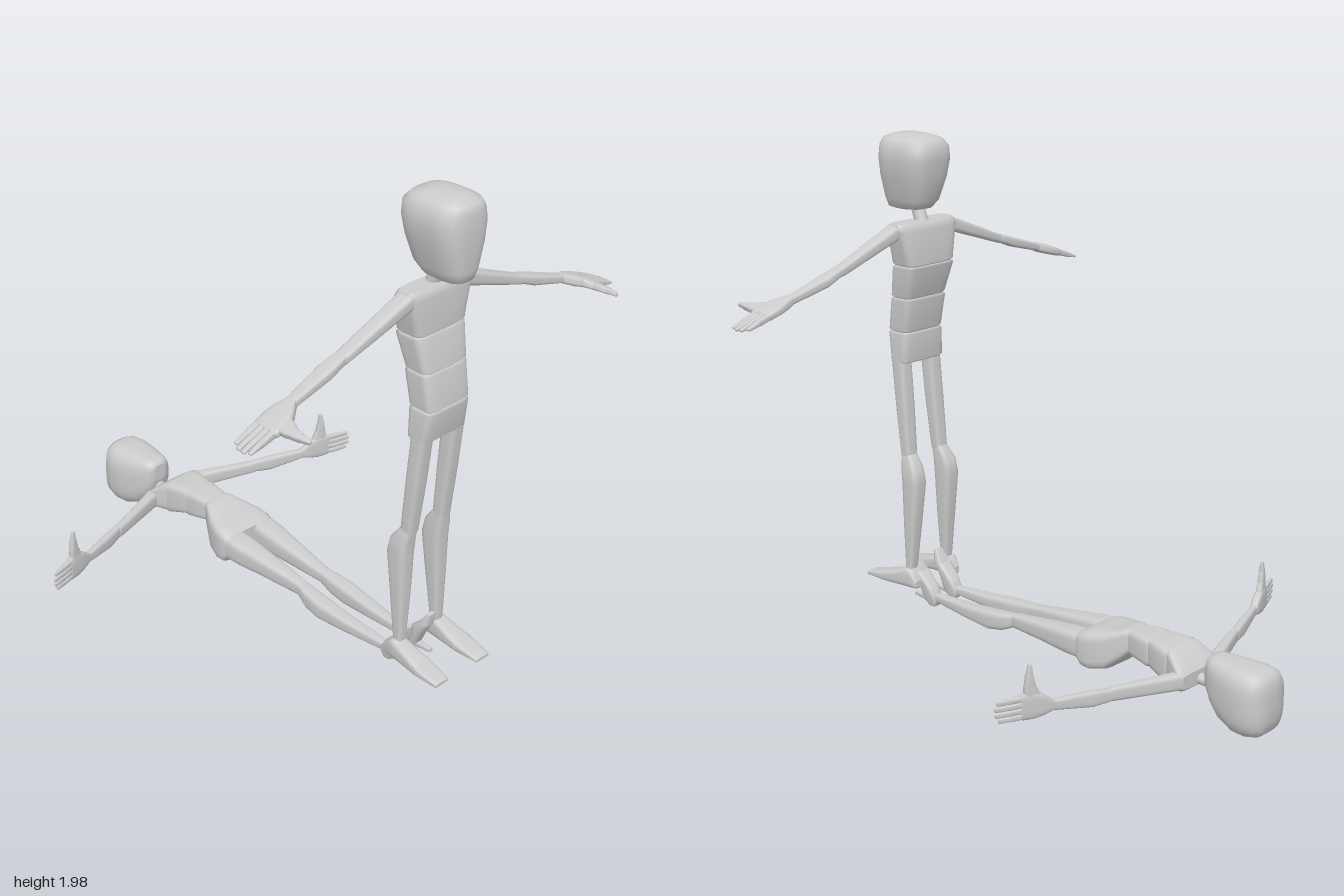
import * as THREE from 'three';

const grey = new THREE.MeshStandardMaterial({ color: 0xcccccc });
grey.name = 'plain grey';

// Each section is [x, y, z, half size, half size]; the two half sizes follow
// the axes across the loft: 'x' -> (y, z), 'y' -> (x, z), 'z' -> (x, y).
const AXES = { x: [0, 1, 2], y: [1, 0, 2], z: [2, 0, 1] };

function loft(name, axis, sections, { square = 0.55, bevel = 0, sides = 20 } = {}) {
  const [a, p, q] = AXES[axis];
  let rows = sections.map((s) => s.slice()).sort((m, n) => m[a] - n[a]);
  if (bevel) {
    // pull the two end faces in a little for softened rims
    const rim = (s, dir) => {
      const e = s.slice();
      e[3] -= bevel; e[4] -= bevel;
      s[a] += dir * bevel;
      return e;
    };
    const first = rim(rows[0], 1), last = rim(rows[rows.length - 1], -1);
    rows = [first, ...rows, last];
  }
  const pos = [], index = [];
  const flip = axis === 'y';
  const ring = (s) => {
    for (let i = 0; i < sides; i++) {
      const t = ((i + 0.5) / sides) * Math.PI * 2 * (flip ? -1 : 1);
      const pw = (v) => Math.sign(v) * Math.pow(Math.abs(v), square);
      const v = [s[0], s[1], s[2]];
      v[p] += s[3] * pw(Math.cos(t));
      v[q] += s[4] * pw(Math.sin(t));
      pos.push(...v);
    }
  };
  rows.forEach(ring);
  for (let r = 0; r < rows.length - 1; r++) {
    for (let i = 0; i < sides; i++) {
      const j = (i + 1) % sides, b = r * sides, c = b + sides;
      index.push(b + i, b + j, c + j, b + i, c + j, c + i);
    }
  }
  // flat ends
  [[rows[0], true], [rows[rows.length - 1], false]].forEach(([s, start]) => {
    const b = pos.length / 3;
    ring(s);
    pos.push(s[0], s[1], s[2]);
    for (let i = 0; i < sides; i++) {
      const j = (i + 1) % sides;
      index.push(b + sides, ...(start ? [b + j, b + i] : [b + i, b + j]));
    }
  });
  const g = new THREE.BufferGeometry();
  g.setAttribute('position', new THREE.Float32BufferAttribute(pos, 3));
  g.setIndex(index);
  g.computeVertexNormals();
  const mesh = new THREE.Mesh(g, grey);
  mesh.name = name;
  return mesh;
}

function group(name, ...parts) {
  const g = new THREE.Group();
  g.name = name;
  g.add(...parts);
  return g;
}

// Makes a left part and its mirror image
function pair(name, build) {
  const left = build(), right = build();
  left.name = 'left' + name;
  right.name = 'right' + name;
  right.scale.x *= -1;
  return [left, right];
}

function hand(scale) {
  const g = group('hand',
    loft('palm', 'x', [[-0.02, 0, 0, 0.017, 0.02], [0.03, 0, 0.012, 0.02, 0.045],
      [0.07, 0, 0.018, 0.019, 0.057], [0.125, 0, 0.018, 0.016, 0.054]], { bevel: 0.004 }),
    loft('thumbBase', 'z', [[0.075, 0, 0.05, 0.036, 0.016], [0.085, 0, 0.1, 0.026, 0.014]]),
    loft('thumbMiddle', 'z', [[0.085, 0, 0.098, 0.023, 0.014], [0.087, 0, 0.145, 0.016, 0.012]], { bevel: 0.002 }),
    loft('thumbTip', 'z', [[0.087, 0, 0.143, 0.014, 0.012], [0.085, 0, 0.188, 0.008, 0.007]], { bevel: 0.002 }));
  [0.098, 0.112, 0.114, 0.106].forEach((len, i) => {
    const z = -0.02 + i * 0.0245;
    const joint = 0.12 + len * 0.5, tip = 0.122 + len;
    g.add(loft('fingerBase', 'x', [[0.115, 0, z, 0.013, 0.012], [joint, 0, z, 0.011, 0.0115]], { bevel: 0.002, sides: 12 }),
      loft('fingerTip', 'x', [[joint - 0.002, 0, z, 0.0105, 0.011], [tip, 0, z, 0.005, 0.009]], { bevel: 0.002, sides: 12 }));
  });
  g.scale.setScalar(scale);
  return g;
}

function arm(shoulder, elbow, wrist, tip, s) {
  const h = hand(s);
  h.position.set(...wrist);
  h.rotation.z = Math.atan2(tip[1] - wrist[1], tip[0] - wrist[0]);
  return group('arm',
    loft('upperArm', 'x', [[...shoulder, 0.031 * s, 0.036 * s], [...elbow, 0.019 * s, 0.028 * s]], { bevel: 0.004 }),
    loft('forearm', 'x', [[...elbow, 0.018 * s, 0.027 * s],
      [elbow[0] + 0.07, elbow[1] - 0.025, elbow[2], 0.021 * s, 0.033 * s],
      [...wrist, 0.016 * s, 0.021 * s]], { bevel: 0.003 }), h);
}

// Stacked torso blocks between neighbouring levels
function torso(levels, names) {
  return names.map((n, i) => loft(n, 'y', levels[i], { square: 0.38, bevel: 0.008 }));
}

function standingFigure() {
  const Y = (x, y, z, a, b) => [x, y, z, a, b];
  return group('standingFigure',
    loft('head', 'y', [Y(0, 1.685, 0.86, 0.03, 0.04), Y(0, 1.695, 0.835, 0.06, 0.09), Y(0, 1.73, 0.822, 0.075, 0.112),
      Y(0, 1.82, 0.812, 0.102, 0.128), Y(0, 1.89, 0.806, 0.114, 0.134), Y(0, 1.94, 0.804, 0.108, 0.132),
      Y(0, 1.968, 0.812, 0.088, 0.115), Y(0, 1.982, 0.818, 0.055, 0.075), Y(0, 1.985, 0.82, 0.02, 0.03)], { square: 0.65, sides: 32 }),
    loft('neck', 'y', [Y(0, 1.63, 0.765, 0.028, 0.03), Y(0, 1.73, 0.805, 0.026, 0.028)], { square: 1 }),
    ...torso([
      [Y(0, 1.65, 0.775, 0.152, 0.045), Y(0, 1.62, 0.772, 0.15, 0.056), Y(0, 1.48, 0.768, 0.122, 0.063)],
      [Y(0, 1.48, 0.768, 0.124, 0.063), Y(0, 1.345, 0.8, 0.108, 0.058)],
      [Y(0, 1.345, 0.8, 0.11, 0.058), Y(0, 1.205, 0.822, 0.104, 0.058)],
      [Y(0, 1.205, 0.822, 0.106, 0.058), Y(0, 1.08, 0.816, 0.11, 0.047)],
    ], ['chest', 'ribs', 'belly', 'pelvis']),
    ...pair('Arm', () => arm([0.13, 1.62, 0.78], [0.43, 1.51, 0.775], [0.67, 1.435, 0.785], [0.89, 1.362, 0.785], 1)),
    ...pair('Leg', () => group('leg',
      loft('thigh', 'y', [Y(0.078, 1.1, 0.823, 0.032, 0.034), Y(0.08, 0.9, 0.805, 0.032, 0.031), Y(0.083, 0.69, 0.785, 0.028, 0.026)], { bevel: 0.003 }),
      loft('shin', 'y', [Y(0.083, 0.705, 0.783, 0.027, 0.026), Y(0.09, 0.65, 0.762, 0.035, 0.042), Y(0.09, 0.59, 0.753, 0.037, 0.045),
        Y(0.093, 0.42, 0.762, 0.031, 0.033), Y(0.098, 0.2, 0.772, 0.02, 0.018)], { bevel: 0.003 }),
      loft('foot', 'z', [[0.103, 0.16, 0.722, 0.023, 0.018], [0.103, 0.18, 0.75, 0.031, 0.04], [0.104, 0.182, 0.775, 0.034, 0.042],
        [0.106, 0.166, 0.86, 0.041, 0.027], [0.107, 0.161, 0.905, 0.045, 0.021]], { bevel: 0.004 }),
      loft('toes', 'z', [[0.107, 0.16, 0.903, 0.044, 0.02], [0.109, 0.148, 0.999, 0.035, 0.009]], { bevel: 0.003 }))));
}

// Built upright facing +z, then laid on its back with the head towards -z
function lyingFigure() {
  const Y = (x, y, z, a, b) => [x, y, z, a, b];
  const g = group('lyingFigure',
    loft('head', 'y', [Y(0, 0.72, 0.205, 0.03, 0.035), Y(0, 0.73, 0.19, 0.055, 0.068), Y(0, 0.76, 0.168, 0.071, 0.094),
      Y(0, 0.8, 0.147, 0.084, 0.115), Y(0, 0.87, 0.133, 0.101, 0.129), Y(0, 0.92, 0.132, 0.105, 0.13),
      Y(0, 0.965, 0.135, 0.097, 0.123), Y(0, 0.988, 0.14, 0.077, 0.108), Y(0, 0.998, 0.145, 0.045, 0.07), Y(0, 1, 0.148, 0.018, 0.03)], { square: 0.65, sides: 32 }),
    loft('neck', 'y', [Y(0, 0.64, 0.14, 0.023, 0.022), Y(0, 0.75, 0.135, 0.022, 0.02)], { square: 1 }),
    ...torso([
      [Y(0, 0.67, 0.15, 0.118, 0.036), Y(0, 0.645, 0.158, 0.114, 0.048), Y(0, 0.575, 0.182, 0.09, 0.072)],
      [Y(0, 0.575, 0.182, 0.092, 0.072), Y(0, 0.47, 0.198, 0.071, 0.06)],
      [Y(0, 0.47, 0.198, 0.073, 0.06), Y(0, 0.36, 0.205, 0.059, 0.05)],
      [Y(0, 0.365, 0.205, 0.062, 0.05), Y(0, 0.33, 0.188, 0.078, 0.062), Y(0, 0.28, 0.158, 0.108, 0.077), Y(0, 0.22, 0.146, 0.127, 0.08),
        Y(0, 0.185, 0.145, 0.13, 0.074), Y(0, 0.155, 0.152, 0.126, 0.058)],
    ], ['chest', 'ribs', 'waist', 'hips']),
    ...pair('Arm', () => arm([0.1, 0.645, 0.155], [0.365, 0.545, 0.16], [0.59, 0.465, 0.172], [0.8, 0.394, 0.172], 0.91)),
    ...pair('Leg', () => group('leg',
      loft('thigh', 'y', [Y(0.073, 0.17, 0.152, 0.053, 0.053), Y(0.073, 0.1, 0.15, 0.052, 0.05), Y(0.067, -0.03, 0.144, 0.041, 0.04),
        Y(0.061, -0.22, 0.133, 0.025, 0.027)], { bevel: 0.003 }),
      loft('shin', 'y', [Y(0.061, -0.21, 0.132, 0.025, 0.027), Y(0.067, -0.27, 0.117, 0.033, 0.036), Y(0.07, -0.34, 0.108, 0.035, 0.039),
        Y(0.065, -0.48, 0.104, 0.029, 0.027), Y(0.057, -0.67, 0.105, 0.019, 0.016)], { bevel: 0.003 }),
      // raised foot on a thin heel
      loft('foot', 'z', [[0.057, -0.685, 0.065, 0.02, 0.018], [0.057, -0.69, 0.1, 0.027, 0.04],
        [0.059, -0.715, 0.15, 0.031, 0.034], [0.062, -0.757, 0.205, 0.035, 0.023]], { bevel: 0.003 }),
      loft('toes', 'z', [[0.062, -0.76, 0.2, 0.034, 0.022], [0.063, -0.778, 0.255, 0.024, 0.01]], { bevel: 0.003 }),
      loft('heel', 'y', [Y(0.057, -0.69, 0.083, 0.018, 0.018), Y(0.057, -0.73, 0.09, 0.013, 0.012), Y(0.057, -0.79, 0.092, 0.009, 0.008)]))));
  g.rotation.x = -Math.PI / 2;
  return g;
}

export function createModel() {
  return group('twoFigures', standingFigure(), lyingFigure());
}
